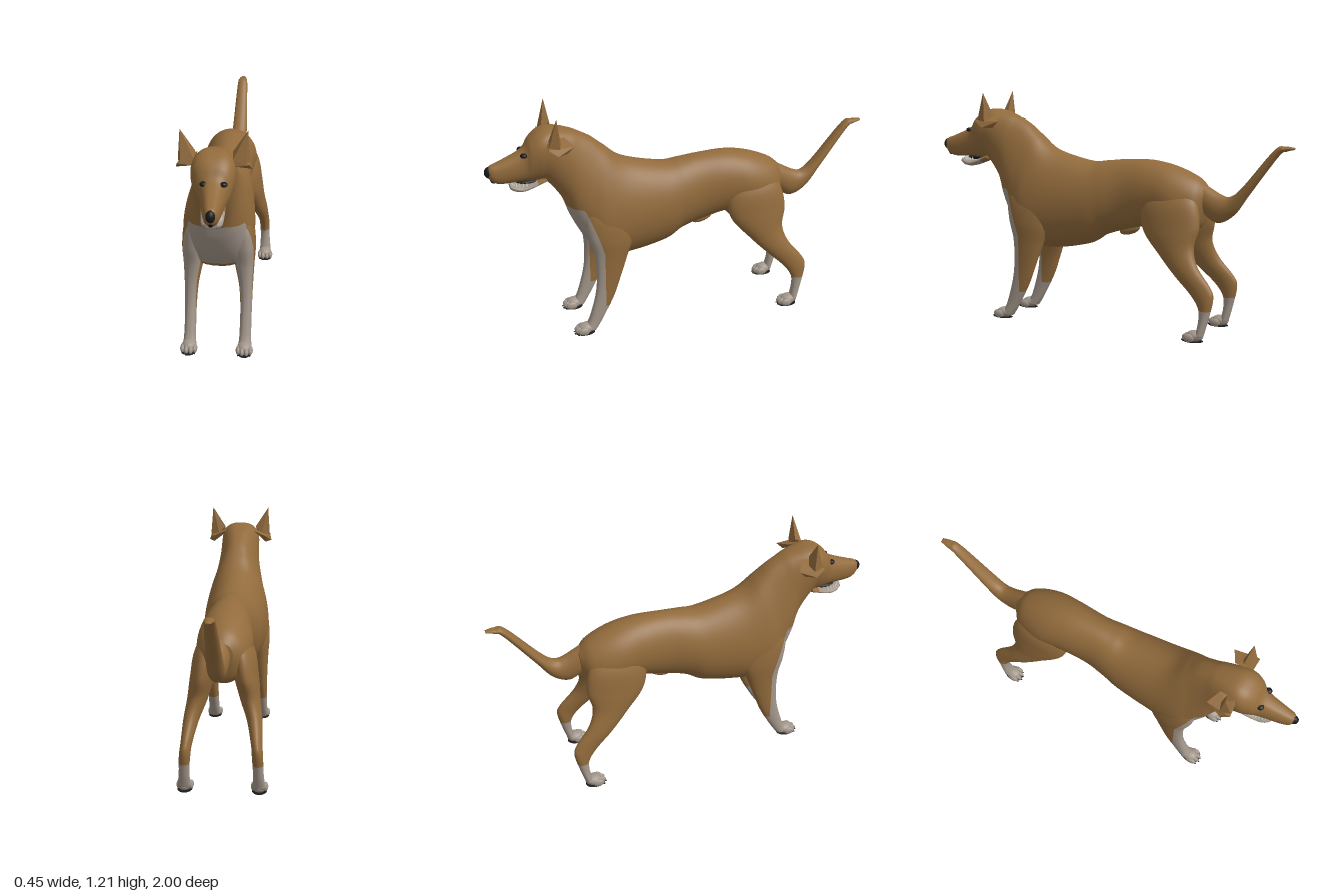
import * as THREE from 'three';
import { ConvexGeometry } from 'three/addons/geometries/ConvexGeometry.js';

const mat = (name, color) => {
  const m = new THREE.MeshStandardMaterial({ color });
  m.name = name;
  return m;
};

// Smooth skin through sections [z0,y0, z1,y1, xCentre, halfWidth, skew]: each section is an
// oval from side point 0 to side point 1, turning boxier towards the chest and head.
// Where field(x, y, z) > 0 the second material is used; faces are cut along its zero line.
function loft(name, sections, materials, field, steps, around) {
  const curve = f => new THREE.CatmullRomCurve3(sections.map(f), false, 'catmullrom', 0.5);
  const edge0 = curve(s => new THREE.Vector3(0, s[1], s[0]));
  const edge1 = curve(s => new THREE.Vector3(0, s[3], s[2]));
  const shape = curve(s => new THREE.Vector3(s[4], s[5], s[6] || 0));
  const pos = [], values = [], faces = [[], []], cuts = new Map();
  const addPoint = (x, y, z) => {
    pos.push(x, y, z);
    return values.push(field(x, y, z)) - 1;
  };
  for (let i = -1; i <= steps + 1; i++) {
    const t = Math.min(Math.max(i / steps, 0), 1);
    const closed = i < 0 || i > steps ? 0 : 1;
    const a = edge0.getPoint(t), b = edge1.getPoint(t), s = shape.getPoint(t);
    const mid = a.clone().add(b).multiplyScalar(0.5), half = a.sub(b).multiplyScalar(0.5 * closed);
    const power = 1 - 0.25 * THREE.MathUtils.smoothstep(mid.z, 0.25, 0.45);
    for (let j = 0; j < around; j++) {
      const ang = j / around * Math.PI * 2, c = Math.cos(ang), sn = Math.sin(ang);
      const wide = Math.sign(sn) * Math.abs(sn) ** power * s.y * (1 + s.z * c) * closed;
      addPoint(s.x + wide, mid.y + half.y * c, mid.z + half.z * c);
    }
  }
  const cut = (a, b) => {
    const key = Math.min(a, b) + '_' + Math.max(a, b);
    if (!cuts.has(key)) {
      const t = values[a] / (values[a] - values[b]);
      cuts.set(key, addPoint(...[0, 1, 2].map(k => pos[a * 3 + k] * (1 - t) + pos[b * 3 + k] * t)));
    }
    return cuts.get(key);
  };
  const add = (...tri) => {
    const sides = tri.map(v => (values[v] > 0 ? 1 : 0));
    const sum = sides[0] + sides[1] + sides[2];
    if (sum % 3 === 0) return faces[sides[0]].push(...tri);
    const lone = sum === 1 ? 1 : 0, k = sides.indexOf(lone);
    const a = tri[k], b = tri[(k + 1) % 3], c = tri[(k + 2) % 3];
    const p = cut(a, b), q = cut(a, c);
    faces[lone].push(a, p, q);
    return faces[1 - lone].push(p, b, c, p, c, q);
  };
  for (let i = 0; i < steps + 2; i++) {
    for (let j = 0; j < around; j++) {
      const k = (j + 1) % around, p = i * around, q = p + around;
      add(p + j, q + j, p + k);
      add(p + k, q + j, q + k);
    }
  }
  const g = new THREE.BufferGeometry();
  g.setAttribute('position', new THREE.Float32BufferAttribute(pos, 3));
  g.setIndex([...faces[0], ...faces[1]]);
  g.addGroup(0, faces[0].length, 0);
  g.addGroup(faces[0].length, faces[1].length, 1);
  g.computeVertexNormals();
  const mesh = new THREE.Mesh(g, materials);
  mesh.name = name;
  return mesh;
}

function ball(name, material, [x, y, z], [rx, ry, rz]) {
  const mesh = new THREE.Mesh(new THREE.SphereGeometry(1, 20, 14), material);
  mesh.position.set(x, y, z);
  mesh.scale.set(rx, ry, rz);
  mesh.name = name;
  return mesh;
}

export function createModel() {
  const dog = new THREE.Group();
  dog.name = 'dog';
  const brown = mat('brown coat', 0x926b3c), pale = mat('pale coat', 0xa2968a);
  const black = mat('black skin', 0x1b1a1a), ivory = mat('ivory teeth', 0xd0cabe);
  const coat = [brown, pale];
  // Pale bib: the forward faces of chest and forelegs, below a level line
  const bib = (x, y, z) => Math.min(0.7 - y, z - 0.475 - Math.max(0, y - 0.45) * 0.3 + x * x);

  // Torso, neck, skull and muzzle in one skin
  dog.add(loft('body', [
    [-0.56, 0.745, -0.55, 0.62, 0, 0.05],
    [-0.5, 0.8, -0.51, 0.54, 0, 0.108],
    [-0.38, 0.85, -0.4, 0.52, 0, 0.138],
    [-0.25, 0.875, -0.27, 0.54, 0, 0.13],
    [-0.1, 0.872, -0.12, 0.51, 0, 0.122],
    [0, 0.862, 0, 0.475, 0, 0.137],
    [0.1, 0.857, 0.1, 0.42, 0, 0.153],
    [0.3, 0.91, 0.31, 0.385, 0, 0.17, -0.12],
    [0.4, 0.985, 0.44, 0.42, 0, 0.166, -0.28],
    [0.46, 1.035, 0.515, 0.5, 0, 0.144, -0.3],
    [0.52, 1.07, 0.58, 0.62, 0, 0.123, -0.2],
    [0.57, 1.093, 0.625, 0.74, 0, 0.109, -0.05],
    [0.66, 1.115, 0.7, 0.84, 0, 0.103, 0.15],
    [0.72, 1.105, 0.74, 0.85, 0.002, 0.099, 0.2],
    [0.77, 1.07, 0.775, 0.85, 0.006, 0.083, 0.15],
    [0.815, 1.015, 0.81, 0.855, 0.009, 0.062],
    [0.92, 0.968, 0.92, 0.852, 0.012, 0.042],
    [0.965, 0.952, 0.96, 0.866, 0.013, 0.032],
    [0.982, 0.94, 0.98, 0.885, 0.013, 0.018],
  ], coat, bib, 190, 64));

  // Tail, dropping from the rump and sweeping up
  dog.add(loft('tail', [
    [-0.5, 0.66, -0.44, 0.82, 0.005, 0.05],
    [-0.56, 0.6, -0.55, 0.76, 0.01, 0.05],
    [-0.62, 0.575, -0.63, 0.718, 0.014, 0.046],
    [-0.7, 0.62, -0.68, 0.712, 0.016, 0.043],
    [-0.78, 0.73, -0.745, 0.765, 0.018, 0.039],
    [-0.92, 0.918, -0.9, 0.95, 0.02, 0.028],
    [-0.96, 0.944, -0.955, 0.969, 0.02, 0.022],
    [-1, 0.955, -1, 0.965, 0.02, 0.012],
  ], coat, () => -1, 50, 24));

  const foreLeg = [
    [0.49, 0.8, 0.35, 0.77, 0.085, 0.03],
    [0.53, 0.67, 0.29, 0.64, 0.112, 0.054],
    [0.52, 0.55, 0.29, 0.52, 0.123, 0.058],
    [0.493, 0.44, 0.325, 0.41, 0.127, 0.048],
    [0.485, 0.33, 0.36, 0.31, 0.135, 0.035],
    [0.495, 0.22, 0.4, 0.2, 0.138, 0.029],
    [0.53, 0.09, 0.465, 0.075, 0.138, 0.029],
    [0.56, 0.03, 0.5, 0.02, 0.138, 0.033],
  ];
  const hindLeg = [
    [-0.3, 0.79, -0.47, 0.76, 0.07, 0.02],
    [-0.235, 0.66, -0.53, 0.67, 0.09, 0.058],
    [-0.25, 0.53, -0.55, 0.56, 0.108, 0.06],
    [-0.35, 0.41, -0.53, 0.46, 0.13, 0.05],
    [-0.44, 0.32, -0.56, 0.37, 0.155, 0.038],
    [-0.53, 0.235, -0.635, 0.275, 0.17, 0.028],
    [-0.575, 0.17, -0.653, 0.22, 0.176, 0.027],
    [-0.58, 0.11, -0.63, 0.115, 0.18, 0.026],
    [-0.565, 0.03, -0.605, 0.03, 0.183, 0.032],
  ];

  // Paw with four toes, claws and a dark sole; z is the toe tip
  const addPaw = (name, x, z) => {
    const paw = new THREE.Group();
    paw.name = name;
    paw.position.set(x, 0, z);
    paw.add(ball('instep', pale, [0, 0.032, -0.075], [0.036, 0.028, 0.045]));
    for (const o of [-0.03, -0.011, 0.011, 0.03]) {
      const dz = -Math.abs(o) * 0.7;
      paw.add(ball('toe', pale, [o, 0.024, -0.034 + dz], [0.0125, 0.021, 0.03]));
      paw.add(ball('claw', black, [o, 0.01, -0.007 + dz], [0.003, 0.004, 0.008]));
    }
    paw.add(ball('sole', black, [0, 0.0045, -0.066], [0.037, 0.0045, 0.052]));
    dog.add(paw);
  };

  for (const [side, s] of [['left', 1], ['right', -1]]) {
    const mirror = rows => rows.map(r => r.map((v, i) => (i === 4 ? v * s : v)));
    dog.add(loft(side + 'ForeLeg', mirror(foreLeg), coat,
      (x, y, z) => Math.max(0.155 - y, bib(x, y, z)), 90, 40));
    dog.add(loft(side + 'HindLeg', mirror(hindLeg), coat, (x, y) => 0.16 - y, 90, 40));
    addPaw(side + 'ForePaw', 0.138 * s, 0.625);
    addPaw(side + 'HindPaw', 0.183 * s, -0.487);

    // Upright pointed ear over a folded base
    const hull = (name, pts) => {
      const g = new ConvexGeometry(pts.map(([x, y, z]) => new THREE.Vector3(x * s, y, z)));
      const m = new THREE.Mesh(g, brown);
      m.name = name;
      dog.add(m);
    };
    hull(side + 'Ear', [[0.155, 1.205, 0.66], [0.166, 1.055, 0.65], [0.086, 1.1, 0.65],
      [0.15, 1.056, 0.7], [0.09, 1.075, 0.69], [0.12, 1.06, 0.635]]);
    hull(side + 'EarBase', [[0.08, 1.08, 0.69], [0.08, 1.08, 0.61], [0.165, 1.055, 0.705],
      [0.15, 1.055, 0.575], [0.175, 1.022, 0.66], [0.145, 1.02, 0.61], [0.1, 1.045, 0.7]]);
    dog.add(ball(side + 'Eye', black, [0.012 + 0.045 * s, 1, 0.808], [0.018, 0.012, 0.018]));
  }

  // Nose, open mouth and lower jaw
  dog.add(ball('nose', black, [0.013, 0.916, 0.973], [0.022, 0.03, 0.027]));
  dog.add(ball('lipCleft', black, [0.013, 0.882, 0.954], [0.016, 0.026, 0.02]));
  dog.add(ball('mouthInside', black, [0.006, 0.848, 0.79], [0.036, 0.012, 0.06]));
  dog.add(loft('lowerJaw', [
    [0.7, 0.87, 0.7, 0.84, 0, 0.06],
    [0.8, 0.834, 0.8, 0.803, 0.004, 0.052],
    [0.85, 0.836, 0.85, 0.803, 0.006, 0.045],
    [0.88, 0.842, 0.878, 0.815, 0.007, 0.028],
  ], coat, (x, y, z) => z - 0.745, 40, 28));
  const tooth = new THREE.ConeGeometry(0.006, 0.022, 6);
  for (let i = 0; i <= 12; i++) {
    const a = Math.PI * i / 12, m = new THREE.Mesh(tooth, ivory);
    m.position.set(0.006 + Math.cos(a) * 0.04, 0.844, 0.8 + Math.sin(a) * 0.07);
    m.name = 'tooth';
    dog.add(m);
  }

  // Belly sheath
  const sheath = ball('sheath', brown, [0, 0.508, -0.125], [0.022, 0.026, 0.06]);
  sheath.rotation.x = 0.3;
  dog.add(sheath);
  return dog;
}
